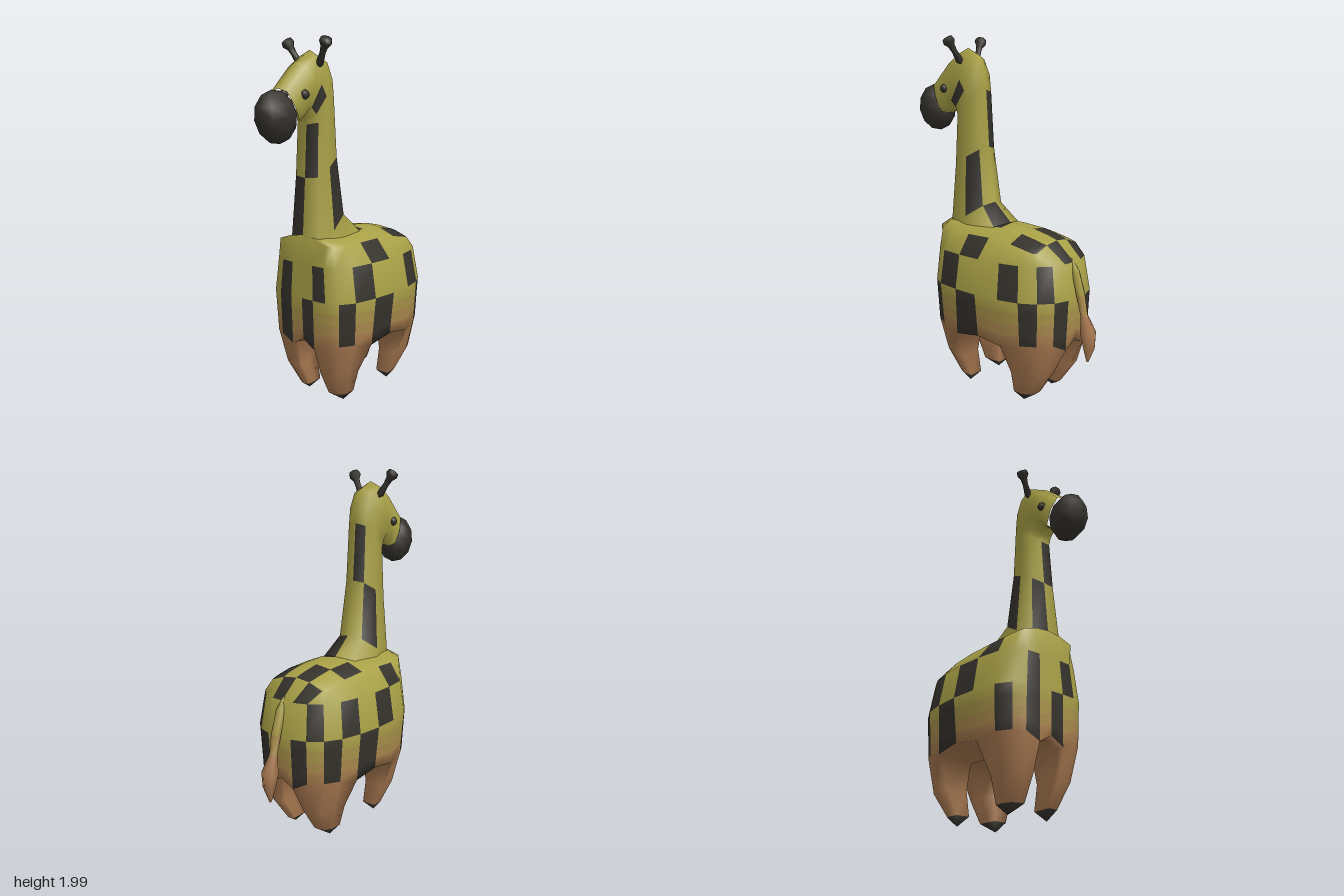
import * as THREE from 'three';
import { mergeVertices } from 'three/addons/utils/BufferGeometryUtils.js';

const YELLOW = new THREE.Color(0xa8a046), BROWN = new THREE.Color(0xa87850), DARK = new THREE.Color(0x35322c);
const blend = t => BROWN.clone().lerp(YELLOW, t);
const mat = color => new THREE.MeshStandardMaterial({ color, roughness: 0.9 });

// Collects coloured quads, smooths them as one skin, then splits it into one mesh per colour
function makeSkin(name) {
  const pos = [], tints = [];
  // s = 1 or -1 mirrors the quad in x
  const quad = (s, a, b, c, d, color) => {
    const q = [a, b, c, d].map(p => [p[0] * s, p[1], p[2]]);
    if (s < 0) q.reverse();
    for (const k of [0, 1, 2, 0, 2, 3]) pos.push(...q[k]);
    tints.push(color, color);
  };
  // Band between two rows of points, low to high
  const strip = (s, low, high, colorOf, closed = false) => {
    const n = low.length;
    for (let i = 0; i < (closed ? n : n - 1); i++) {
      const j = (i + 1) % n;
      quad(s, low[i], low[j], high[j], high[i], colorOf(i));
    }
  };
  const build = () => {
    let geo = new THREE.BufferGeometry();
    geo.setAttribute('position', new THREE.Float32BufferAttribute(pos, 3));
    geo = mergeVertices(geo, 1e-4);
    geo.computeVertexNormals();
    const parts = new Map();
    tints.forEach((c, t) => {
      const key = c.getHexString();
      if (!parts.has(key)) parts.set(key, { color: c, index: [] });
      const [i, j, k] = [0, 1, 2].map(m => geo.index.getX(3 * t + m));
      if (i !== j && j !== k && k !== i) parts.get(key).index.push(i, j, k);
    });
    const group = new THREE.Group();
    group.name = name;
    for (const { color, index } of parts.values()) {
      const g = new THREE.BufferGeometry();
      g.setAttribute('position', geo.attributes.position);
      g.setAttribute('normal', geo.attributes.normal);
      g.setIndex(index);
      const mesh = new THREE.Mesh(g, mat(color));
      mesh.name = name + (color === DARK ? 'Patches' : 'Coat');
      group.add(mesh);
    }
    return group;
  };
  return { quad, strip, build };
}

function makeBody() {
  const skin = makeSkin('body');
  // Half rings from front centre round the +x side to back centre
  const ring = (xs, zs, y) => xs.map((x, i) => [x, y(i, x, zs[i]), zs[i]]);
  const y0 = [.385, .34, .38, .38, .38, .355, .38, .355, .38, .38, .38, .34, .385];
  const bottom = ring([0, .08, .165, .225, .27, .29, .295, .29, .27, .225, .16, .08, 0],
    [.335, .335, .33, .3, .22, .1, -.06, -.215, -.33, -.41, -.47, -.495, -.5], i => y0[i]);
  const middle = ring([0, .08, .165, .235, .285, .31, .32, .31, .285, .235, .165, .08, 0],
    [.345, .345, .34, .31, .23, .09, -.06, -.21, -.33, -.42, -.48, -.508, -.512], () => .62);
  const shoulder = middle.map(([x, , z]) => [x * .9, .81, z * (z > 0 ? .98 : .94)]);
  const topY = (x, z) => .965 - 1.3 * x * x - .57 * Math.max(0, -.06 - z) ** 2;
  const top = ring([0, .0825, .165, .19, .2, .2, .2, .2, .195, .19, .18, .09, 0],
    [.335, .335, .335, .3, .21, .09, -.06, -.21, -.31, -.35, -.37, -.37, -.37], (i, x, z) => topY(x, z));
  const mix = t => bottom.map((p, i) => p.map((v, k) => v + (middle[i][k] - v) * t));

  // Dark cells of each row, by side
  const cells = {
    1: [[0, 3, 5, 8, 10], [1, 4, 7, 9], [5, 11]],
    [-1]: [[1, 3, 6, 8, 10], [1, 5, 7, 9], [4, 10]],
  };
  const saddle = { 1: { 5: 0, 7: 1, 8: 1, 9: 1 }, [-1]: { 6: 1, 7: 0, 8: 0, 9: 0 } };
  const inner = i => [.08, i === 6 ? .355 : .34, bottom[i][2]];

  for (const s of [1, -1]) {
    const pick = (row, base) => i => cells[s][row].includes(i) ? DARK : base;
    for (let k = 0; k < 4; k++) skin.strip(s, mix(k / 4), mix((k + 1) / 4), pick(0, blend((k + .5) / 4)));
    skin.strip(s, middle, shoulder, pick(1, YELLOW));
    skin.strip(s, shoulder, top, pick(2, YELLOW));

    // Back: grid closing the top ring
    const topRow = i => [0, .5, 1].map(f => [top[i][0] * f, topY(top[i][0] * f, top[i][2]), top[i][2]]);
    for (let i = 2; i < 10; i++)
      skin.strip(s, topRow(i), topRow(i + 1), c => saddle[s][i] === c ? DARK : YELLOW);

    // Belly: grid closing the bottom ring, left open where the legs join
    const bellyRow = i => i === 2 ? [bottom[0], bottom[1], bottom[2]]
      : i === 10 ? [bottom[12], bottom[11], bottom[10]]
      : [[0, .37, bottom[i][2]], inner(i), bottom[i]];
    for (let i = 2; i < 10; i++) {
      const cols = i === 5 || i === 6 ? 3 : 2;
      skin.strip(s, bellyRow(i + 1).slice(0, cols), bellyRow(i).slice(0, cols), () => BROWN);
    }

    // Legs: eight-sided, tapering to a dark pointed hoof
    const section = [[0, 1], [.4, 1], [.75, .87], [.97, .55], [.95, .06], [.06, .04], [0, .5], [0, .85]];
    const leg = (root, levels, tip, flip) => {
      const rings = [root, ...levels.map(([y, x0, x1, z0, z1]) =>
        section.map(([u, v]) => [x0 + (x1 - x0) * u, y, z0 + (z1 - z0) * v])), section.map(() => tip)];
      if (flip) rings.forEach(r => r.reverse());
      for (let k = 0; k < rings.length - 1; k++)
        skin.strip(s, rings[k + 1], rings[k], () => k === rings.length - 2 ? DARK : BROWN, true);
    };
    leg([1, 2, 3, 4, 5].map(i => bottom[i]).concat([5, 4, 3].map(inner)),
      [[.19, .085, .225, .115, .29], [.055, .082, .172, .1, .22]], [.13, .005, .15], false);
    leg([11, 10, 9, 8, 7].map(i => bottom[i]).concat([7, 8, 9].map(inner)),
      [[.19, .085, .225, -.22, -.42], [.055, .082, .172, -.205, -.33]], [.13, .005, -.255], true);
  }
  return skin.build();
}

function makeNeckAndHead() {
  const skin = makeSkin('neckAndHead');
  // Each ring: throat z, y; nape z, y; half width
  const rings = [
    [.33, .8, -.06, .955, .15], [.335, .9, .065, 1.07, .108], [.31, 1.27, .11, 1.38, .086],
    [.295, 1.55, .13, 1.7, .08], [.31, 1.59, .14, 1.8, .08], [.345, 1.62, .18, 1.89, .08],
    [.36, 1.61, .265, 1.93, .08], [.38, 1.59, .36, 1.87, .08], [.41, 1.56, .5, 1.735, .075],
  ].map(([fz, fy, bz, by, w]) => [[0, 0], [.07, .92], [.5, 1], [.91, .74], [1, 0]]
    .map(([t, u]) => [u * w, fy + (by - fy) * t, fz + (bz - fz) * t]));
  // Dark cell of each band, by side
  const dark = { 1: [3, 2, 0, -1, -1], [-1]: [-1, 0, 3] };
  dark[1][4] = 1;
  for (const s of [1, -1])
    for (let k = 0; k < rings.length - 1; k++)
      skin.strip(s, rings[k], rings[k + 1],
        j => dark[s][k] === j || (s < 0 && k === 1 && j === 2) ? DARK : YELLOW);
  return skin.build();
}

function makeTail() {
  const skin = makeSkin('tail');
  // Each ring: y, z, radius
  const rings = [[.83, -.465, .004], [.76, -.495, .024], [.64, -.53, .027], [.53, -.555, .022],
    [.44, -.582, .047], [.36, -.59, .035], [.275, -.583, .006], [.275, -.583, 0]]
    .map(([y, z, r]) => Array.from({ length: 6 }, (_, i) => {
      const a = i / 6 * Math.PI * 2;
      return [r * Math.sin(a), y, z + r * Math.cos(a)];
    }));
  for (let k = 0; k < rings.length - 1; k++)
    skin.strip(1, rings[k + 1], rings[k], () => blend([1, .85, .4][k] ?? 0), true);
  return skin.build();
}

export function createModel() {
  const model = new THREE.Group();
  model.name = 'giraffe';
  model.add(makeBody(), makeNeckAndHead(), makeTail());
  const add = (name, geo) => {
    const mesh = new THREE.Mesh(geo, mat(DARK));
    mesh.name = name;
    model.add(mesh);
    return mesh;
  };

  // Muzzle
  const muzzle = add('muzzle', new THREE.SphereGeometry(1, 8, 6));
  muzzle.scale.set(.096, .137, .118);
  muzzle.rotation.x = .2;
  muzzle.position.set(0, 1.595, .517);

  for (const s of [1, -1]) {
    const side = s > 0 ? 'left' : 'right';
    // Eyes
    add(side + 'Eye', new THREE.SphereGeometry(.025, 8, 6)).position.set(s * .074, 1.705, .385);
    // Horns with a knob at the end
    const profile = [[0, 0], [.021, .03], [.016, .09], [.02, .125], [.035, .15], [.03, .172], [0, .178]]
      .map(([r, h]) => new THREE.Vector2(r, h));
    const horn = add(side + 'Horn', new THREE.LatheGeometry(profile, 7));
    horn.position.set(s * .055, 1.835, .26);
    horn.quaternion.setFromUnitVectors(new THREE.Vector3(0, 1, 0), new THREE.Vector3(s * .088, .15, .032).normalize());
  }
  return model;
}
